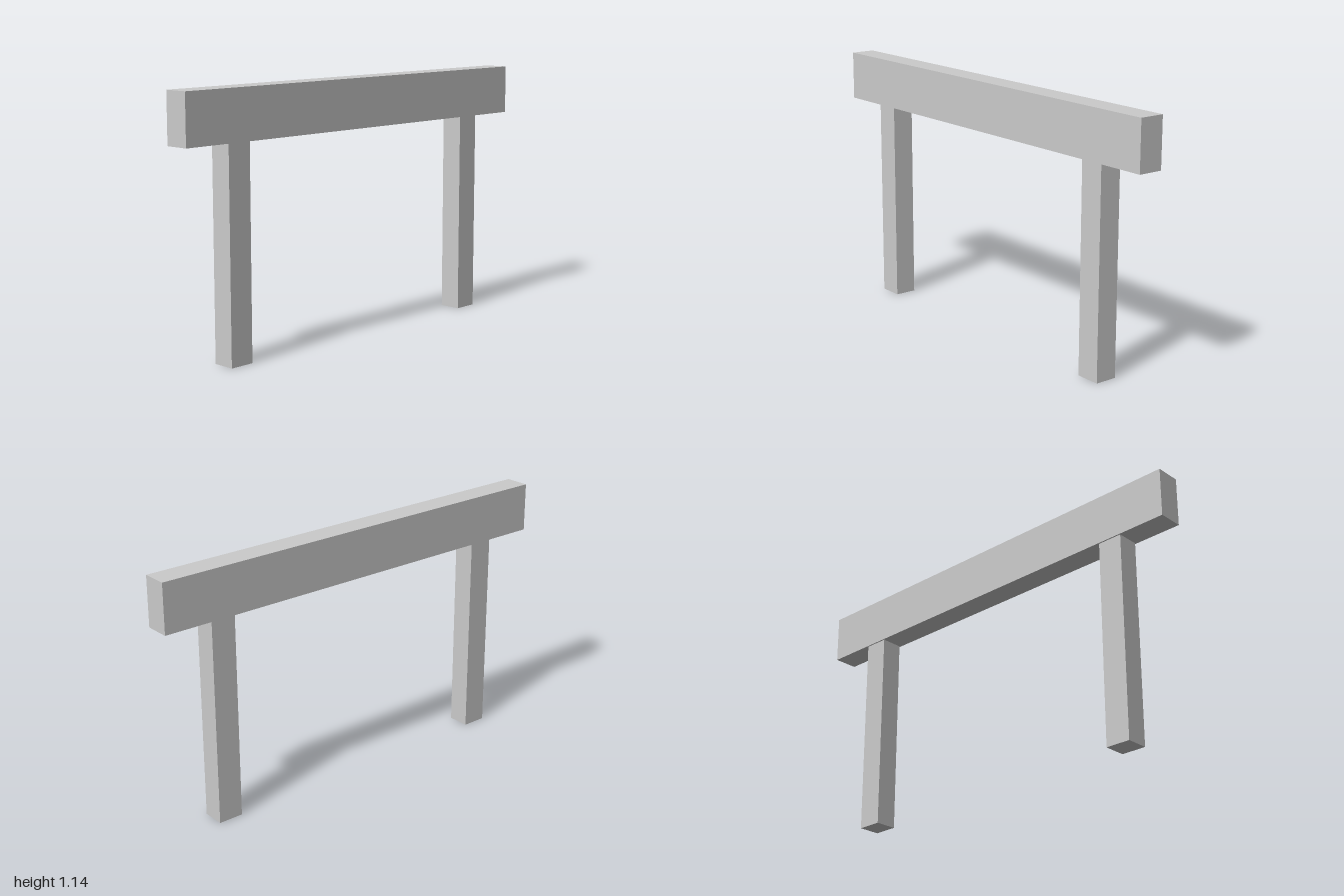
import * as THREE from 'three';

export function createModel() {
  const group = new THREE.Group();
  const material = new THREE.MeshStandardMaterial({ color: 0xcccccc, flatShading: true });

  // Box standing on height y
  function addBox(name, width, height, depth, x, y) {
    const mesh = new THREE.Mesh(new THREE.BoxGeometry(width, height, depth), material);
    mesh.name = name;
    mesh.position.set(x, y + height / 2, 0);
    group.add(mesh);
  }

  const postHeight = 0.92;

  // Horizontal beam resting on the posts
  addBox('beam', 2, 0.22, 0.112, 0, postHeight);

  // Two posts, slightly thinner than the beam
  for (const side of [-1, 1]) {
    addBox(side > 0 ? 'leftPost' : 'rightPost', 0.113, postHeight, 0.1, side * 0.721, 0);
  }

  return group;
}
